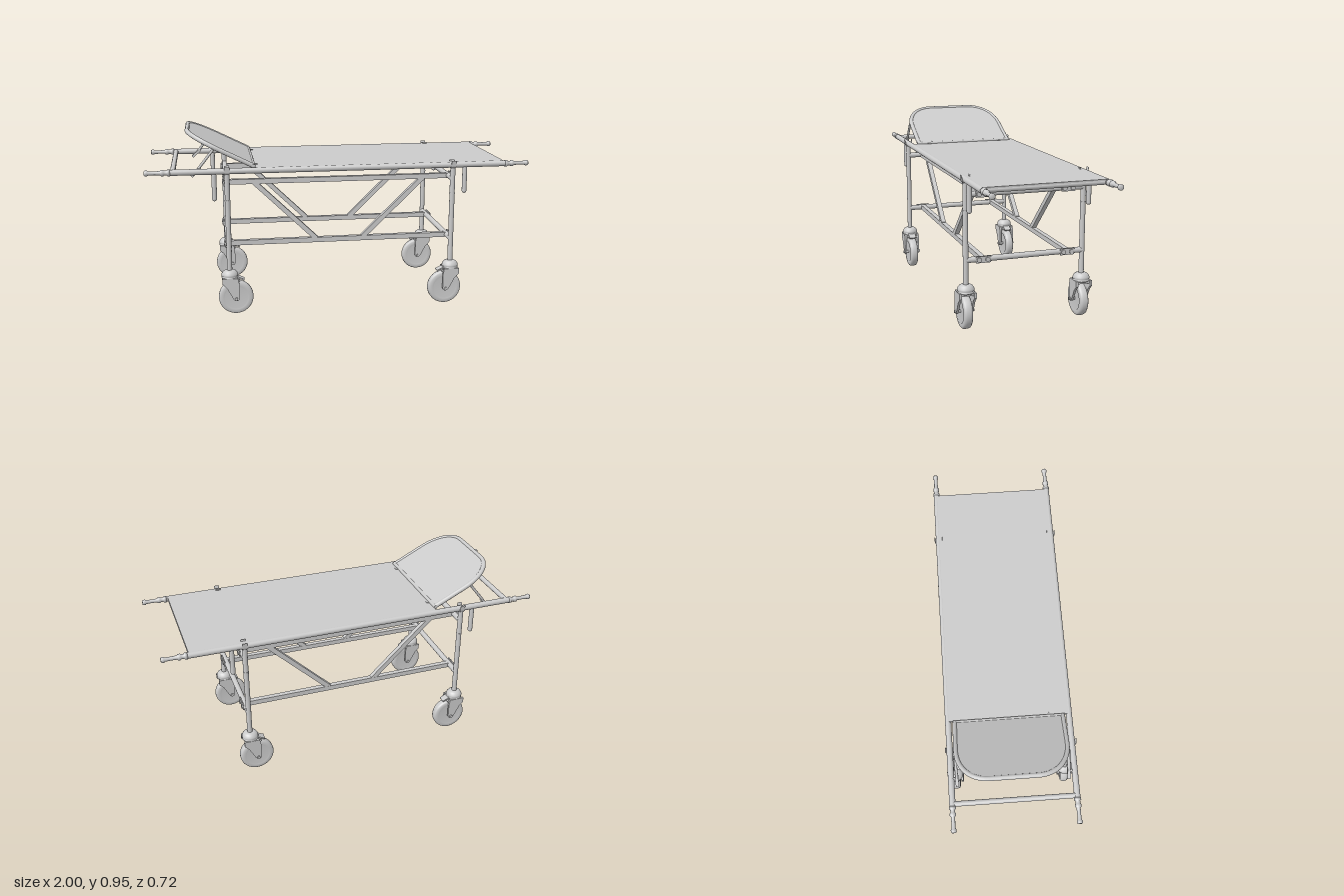
import * as THREE from 'three';

const material = new THREE.MeshStandardMaterial({ color: 0xcccccc, side: THREE.DoubleSide });
const RAIL_Y = 0.758, RAIL_Z = 0.308, LEG_X = 0.59, BAR_Z = 0.222;

function add(parent, name, geometry, x = 0, y = 0, z = 0) {
  const mesh = new THREE.Mesh(geometry, material);
  mesh.name = name;
  mesh.position.set(x, y, z);
  parent.add(mesh);
  return mesh;
}

// Round tube between two points
function rod(parent, name, a, b, r, sides = 20) {
  const p = new THREE.Vector3(...a), q = new THREE.Vector3(...b);
  const mesh = add(parent, name, new THREE.CylinderGeometry(r, r, p.distanceTo(q), sides));
  mesh.position.copy(p).add(q).multiplyScalar(0.5);
  mesh.quaternion.setFromUnitVectors(new THREE.Vector3(0, 1, 0), q.sub(p).normalize());
  return mesh;
}

// Square bar lying in a plane of constant z
function bar(parent, name, x1, y1, x2, y2, z, size) {
  const mesh = add(parent, name, new THREE.BoxGeometry(Math.hypot(x2 - x1, y2 - y1), size, size),
    (x1 + x2) / 2, (y1 + y2) / 2, z);
  mesh.rotation.z = Math.atan2(y2 - y1, x2 - x1);
  return mesh;
}

const lathe = (points, sides = 32) =>
  new THREE.LatheGeometry(points.map(([r, y]) => new THREE.Vector2(r, y)), sides);

function plate(points, depth) {
  const shape = new THREE.Shape(points.map(([x, y]) => new THREE.Vector2(x, y)));
  const geometry = new THREE.ExtrudeGeometry(shape, { depth, bevelEnabled: false });
  return geometry.translate(0, 0, -depth / 2);
}

// Swivel wheel trailing towards local +x, stem at local x = 0
function createCaster() {
  const caster = new THREE.Group();
  caster.name = 'caster';
  const wx = 0.03, wy = 0.09;
  const tyre = add(caster, 'wheel', lathe([[0, -0.019], [0.06, -0.019], [0.063, -0.023], [0.08, -0.022],
    [0.087, -0.017], [0.09, -0.008], [0.09, 0.008], [0.087, 0.017], [0.08, 0.022], [0.063, 0.023],
    [0.06, 0.019], [0, 0.019]], 48), wx, wy, 0);
  tyre.rotation.x = Math.PI / 2;
  add(caster, 'swivelDome', lathe([[0, 0.193], [0.04, 0.193], [0.043, 0.198], [0.043, 0.203], [0.039, 0.205],
    [0.043, 0.208], [0.042, 0.218], [0.034, 0.23], [0.022, 0.237], [0, 0.238]]));
  add(caster, 'forkCrown', new THREE.BoxGeometry(0.07, 0.012, 0.086), 0.002, 0.19, 0);
  const outline = [[-0.04, 0.2], [0.04, 0.2], [0.047, 0.17], [0.047, 0.09], [0.04, 0.079],
    [0.024, 0.079], [0.014, 0.09], [-0.018, 0.15], [-0.04, 0.172]];
  for (const s of [-1, 1]) {
    add(caster, 'forkCheek', plate(outline, 0.012), 0, 0, s * 0.038);
  }
  rod(caster, 'axle', [wx, wy, -0.051], [wx, wy, 0.051], 0.008, 12);
  const pedal = add(caster, 'brakePedal', new THREE.BoxGeometry(0.042, 0.007, 0.04), 0.055, 0.192, 0);
  pedal.rotation.z = -0.45;
  rod(caster, 'brakePivot', [0.045, 0.185, -0.03], [0.045, 0.185, 0.03], 0.007, 10);
  return caster;
}

// Hinged head section: a padded panel with a rounded rim and two props
function createBackrest() {
  const backrest = new THREE.Group();
  backrest.name = 'backrest';
  const outline = (length, half) => {
    const shape = new THREE.Shape();
    shape.moveTo(0, -half);
    shape.lineTo(-length + 0.19, -half);
    shape.bezierCurveTo(-length + 0.07, -half, -length, -half + 0.07, -length, -half + 0.155);
    shape.lineTo(-length, half - 0.155);
    shape.bezierCurveTo(-length, half - 0.07, -length + 0.07, half, -length + 0.19, half);
    shape.lineTo(0, half);
    return shape;
  };
  const panel = new THREE.ExtrudeGeometry(outline(0.372, 0.274), { depth: 0.014, bevelEnabled: false, curveSegments: 20 });
  panel.translate(0, 0, -0.007).rotateX(-Math.PI / 2);
  add(backrest, 'backrestPanel', panel);
  const points = outline(0.372, 0.274).getPoints(12).map(p => new THREE.Vector3(p.x, 0, -p.y));
  const path = new THREE.CurvePath();
  for (let i = 1; i < points.length; i++) path.add(new THREE.LineCurve3(points[i - 1], points[i]));
  add(backrest, 'backrestRim', new THREE.TubeGeometry(path, 120, 0.012, 12));
  rod(backrest, 'backrestHinge', [0, 0, -0.285], [0, 0, 0.285], 0.01);
  backrest.position.set(-0.452, 0.775, 0);
  backrest.rotation.z = -0.465;
  return backrest;
}

export function createModel() {
  const model = new THREE.Group();
  model.name = 'stretcherTrolley';

  // Deck with its end and hinge cross tubes
  add(model, 'deck', new THREE.BoxGeometry(1.31, 0.008, 0.61), 0.21, 0.769, 0);
  for (const x of [-0.86, -0.435, 0.852]) {
    rod(model, 'deckCrossTube', [x, RAIL_Y, -RAIL_Z], [x, RAIL_Y, RAIL_Z], x === -0.435 ? 0.01 : 0.0135);
  }
  model.add(createBackrest());

  const grip = lathe([[0, 0], [0.0175, 0], [0.0175, 0.012], [0.012, 0.016], [0.012, 0.03], [0.016, 0.033],
    [0.016, 0.045], [0.0105, 0.05], [0.0095, 0.08], [0.0105, 0.108], [0.0145, 0.113], [0.0145, 0.123],
    [0.011, 0.128], [0, 0.128]], 20);

  for (const s of [-1, 1]) {
    const z = s * RAIL_Z;
    rod(model, 'sideRail', [-0.875, RAIL_Y, z], [0.875, RAIL_Y, z], 0.0155);

    // Props holding up the backrest, with notched seats on the rail
    const pz = s * 0.279;
    rod(model, 'backrestProp', [-0.655, 0.865, pz], [-0.735, 0.765, pz], 0.007, 12);
    const seat = add(model, 'propSeat', new THREE.BoxGeometry(0.06, 0.014, 0.016), -0.745, 0.752, pz);
    seat.rotation.z = 0.75;
    rod(model, 'propPin', [-0.735, 0.762, pz], [-0.735, 0.762, z], 0.007, 10);
    add(model, 'hingeBracket', new THREE.BoxGeometry(0.035, 0.018, 0.02), -0.447, 0.767, s * 0.215);

    // Long bars and diagonal braces
    for (const y of [0.685, 0.358]) {
      bar(model, 'longBar', -LEG_X, y, LEG_X, y, s * BAR_Z, 0.026);
    }
    for (const d of [-1, 1]) {
      bar(model, 'diagonalBrace', d * 0.45, 0.68, d * 0.125, 0.365, s * BAR_Z, 0.025);
    }

    for (const d of [-1, 1]) {
      const x = d * LEG_X;
      const handle = add(model, 'carryGrip', grip, d * 0.872, RAIL_Y, z);
      handle.rotation.z = -d * Math.PI / 2;

      // Leg with a joint ring and a cradle for the rail
      rod(model, 'leg', [x, 0.22, z], [x, 0.745, z], 0.0135);
      add(model, 'legRing', new THREE.CylinderGeometry(0.0148, 0.0148, 0.006, 20), x, 0.605, z);
      const cradle = new THREE.Shape();
      cradle.moveTo(-0.022, 0.024);
      cradle.lineTo(-0.0195, 0);
      cradle.absarc(0, 0, 0.0195, Math.PI, Math.PI * 2, false);
      cradle.lineTo(0.022, 0.024);
      cradle.lineTo(0.0155, 0);
      cradle.absarc(0, 0, 0.0155, Math.PI * 2, Math.PI, true);
      const cradleGeo = new THREE.ExtrudeGeometry(cradle, { depth: 0.026, bevelEnabled: false });
      cradleGeo.translate(0, 0, -0.013).rotateY(Math.PI / 2);
      add(model, 'railCradle', cradleGeo, x, RAIL_Y, z);

      // Hanging folding foot
      add(model, 'hangingFoot', new THREE.CapsuleGeometry(0.0125, 0.122, 6, 16), d * 0.655, 0.678, z);

      const caster = createCaster();
      caster.position.set(x, 0, z);
      if (d > 0) caster.rotation.y = Math.PI;
      model.add(caster);

      // Bolted end plates
      for (const y of [0.685, 0.358]) {
        add(model, 'endPlate', new THREE.BoxGeometry(0.006, 0.033, 0.075), d * 0.604, y, s * BAR_Z);
        for (const o of [-0.022, 0.022]) {
          const bz = s * BAR_Z + o;
          rod(model, 'plateBolt', [d * 0.602, y, bz], [d * 0.613, y, bz], 0.012, 16);
        }
      }
    }
  }

  // Cross tubes joining the legs
  for (const x of [-LEG_X, LEG_X]) {
    for (const y of [0.685, 0.358]) {
      rod(model, 'legCrossTube', [x, y, -RAIL_Z], [x, y, RAIL_Z], 0.0145);
    }
  }
  return model;
}
